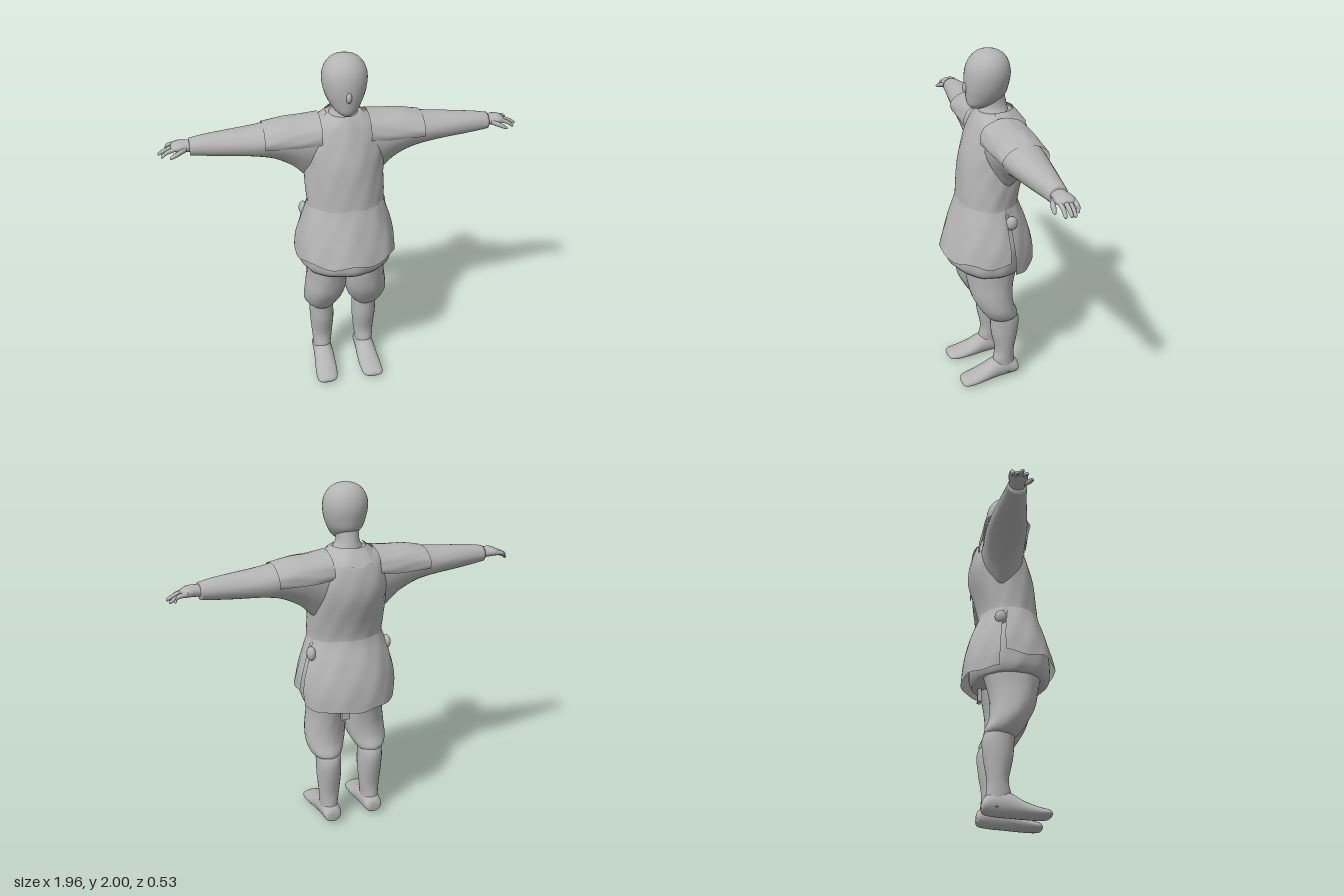
import * as THREE from 'three';

const cloth = new THREE.MeshStandardMaterial({ color: 0xb4b4b4, side: THREE.DoubleSide });
cloth.name = 'plainGrey';

// smooth extra rows between the given cross-sections
function refine(rows, steps = 4) {
  const out = [];
  const at = (i) => rows[Math.max(0, Math.min(rows.length - 1, i))];
  for (let i = 0; i < rows.length - 1; i++) {
    for (let s = 0; s < steps; s++) {
      const t = s / steps;
      out.push(at(i).map((b, k) => {
        const a = at(i - 1)[k], c = at(i + 1)[k], d = at(i + 2)[k];
        return b + 0.5 * t * (c - a + t * (2 * a - 5 * b + 4 * c - d + t * (3 * (b - c) + d - a)));
      }));
    }
  }
  out.push(at(rows.length - 1));
  return out;
}

// Oval loft along an axis. Rows: [position, u0, u1, v0, v1, taper],
// where u and v are the next axes in cyclic order (y: z,x  x: y,z  z: x,y).
// "arc" in degrees makes an open sheet; "fold" adds cloth folds; "hem" waves the first edge.
function loft(axis, rows, { n = 32, arc = null, fold = 0, hem = 0 } = {}) {
  const T = 'xyz'.indexOf(axis), U = (T + 1) % 3, V = (T + 2) % 3;
  const rings = refine(rows.map((r) => [...r, 0].slice(0, 6)));
  const [a0, a1] = (arc || [0, 360]).map(THREE.MathUtils.degToRad);
  const count = arc ? n + 1 : n;
  const pos = [], index = [];
  const push = (t, u, v) => {
    const p = [0, 0, 0];
    p[T] = t; p[U] = u; p[V] = v;
    pos.push(...p);
  };
  rings.forEach(([t, u0, u1, v0, v1, taper], i) => {
    for (let j = 0; j < count; j++) {
      const a = a0 + (a1 - a0) * j / n;
      const f = 1 + fold * (Math.sin(7 * a + 9 * t) + 0.6 * Math.sin(12 * a - 23 * t));
      const c = Math.cos(a), s = Math.sin(a);
      push(t + hem * Math.cos(7 * a) * (1 - i / (rings.length - 1)),
        (u0 + u1) / 2 + (u1 - u0) / 2 * c * f,
        (v0 + v1) / 2 + (v1 - v0) / 2 * s * f * (1 + taper * c));
    }
  });
  for (let i = 0; i < rings.length - 1; i++) {
    for (let j = 0; j < n; j++) {
      const k = (j + 1) % count;
      const a = i * count + j, b = i * count + k;
      index.push(a, b, b + count, a, b + count, a + count);
    }
  }
  if (!arc) {
    const last = (rings.length - 1) * count, mid = pos.length / 3;
    for (const r of [rings[0], rings[rings.length - 1]]) push(r[0], (r[1] + r[2]) / 2, (r[3] + r[4]) / 2);
    for (let j = 0; j < n; j++) {
      const k = (j + 1) % n;
      index.push(mid, k, j, mid + 1, last + j, last + k);
    }
  }
  const geo = new THREE.BufferGeometry();
  geo.setAttribute('position', new THREE.Float32BufferAttribute(pos, 3));
  geo.setIndex(index);
  geo.computeVertexNormals();
  return geo;
}

function mirrored(geo) {
  const g = geo.clone().scale(-1, 1, 1);
  const ix = g.index.array;
  for (let i = 0; i < ix.length; i += 3) [ix[i], ix[i + 1]] = [ix[i + 1], ix[i]];
  g.computeVertexNormals();
  return g;
}

export function createModel() {
  const model = new THREE.Group();
  model.name = 'figure';
  const add = (name, geo) => {
    const mesh = new THREE.Mesh(geo, cloth);
    mesh.name = name;
    model.add(mesh);
    return mesh;
  };
  const pair = (name, geo) => {
    add('left' + name, geo);
    add('right' + name, mirrored(geo));
  };
  // centred sections: [y, back, front, half width]
  const body = (rows) => rows.map(([y, z0, z1, w]) => [y, z0, z1, -w, w]);

  // head and neck
  add('head', loft('y', body([
    [1.69, 0.01, 0.08, 0.025], [1.715, -0.05, 0.1, 0.06], [1.76, -0.105, 0.108, 0.09],
    [1.81, -0.122, 0.113, 0.11], [1.87, -0.132, 0.112, 0.12], [1.92, -0.125, 0.1, 0.114],
    [1.96, -0.105, 0.075, 0.092], [1.985, -0.073, 0.043, 0.06], [2, -0.025, -0.005, 0.01]])));
  add('nose', new THREE.SphereGeometry(1, 12, 10).scale(0.016, 0.03, 0.022).translate(0, 1.805, 0.106));
  add('neck', loft('y', body([
    [1.6, -0.15, 0.06, 0.12], [1.66, -0.125, 0.042, 0.085], [1.7, -0.115, 0.03, 0.062], [1.77, -0.1, 0.03, 0.06]])));
  add('collar', loft('y', body([
    [1.6, -0.215, 0.098, 0.18], [1.64, -0.185, 0.078, 0.14], [1.68, -0.15, 0.062, 0.095]]),
  { arc: [75, 285], hem: 0.008 }));

  // tunic with its two overlapping skirt panels
  add('tunic', loft('y', body([
    [0.77, -0.2, 0.2, 0.245], [0.82, -0.22, 0.23, 0.262], [0.95, -0.22, 0.22, 0.26],
    [1.05, -0.19, 0.19, 0.235], [1.15, -0.17, 0.168, 0.215], [1.25, -0.185, 0.16, 0.217],
    [1.4, -0.228, 0.145, 0.218], [1.5, -0.232, 0.12, 0.222], [1.6, -0.208, 0.085, 0.2],
    [1.645, -0.17, 0.065, 0.14], [1.67, -0.14, 0.05, 0.09]]), { n: 56, fold: 0.012 }));
  add('frontSkirt', loft('y', body([
    [0.86, -0.25, 0.262, 0.288], [0.95, -0.24, 0.238, 0.277], [1.05, -0.21, 0.207, 0.25],
    [1.13, -0.178, 0.178, 0.225], [1.18, -0.168, 0.162, 0.208]]),
  { n: 48, arc: [-102, 102], fold: 0.01, hem: 0.012 }));
  add('backSkirt', loft('y', body([
    [0.78, -0.264, 0.24, 0.28], [0.86, -0.26, 0.24, 0.285], [0.95, -0.246, 0.23, 0.275],
    [1.05, -0.215, 0.2, 0.25], [1.13, -0.182, 0.175, 0.225], [1.18, -0.168, 0.16, 0.208]]),
  { n: 40, arc: [106, 254], fold: 0.01, hem: 0.006 }));
  pair('SideKnot', new THREE.SphereGeometry(1, 12, 8).scale(0.025, 0.04, 0.035).translate(0.225, 1.09, -0.07));
  add('hangingStrap', new THREE.BoxGeometry(0.05, 0.13, 0.02).translate(0.06, 0.76, -0.155));

  // sleeves, wide under the arm, with shoulder caps
  pair('Sleeve', loft('x', [
    [0.08, 1.25, 1.65, -0.17, 0.06, 0.4], [0.2, 1.3, 1.645, -0.165, 0.055, 0.45],
    [0.28, 1.375, 1.64, -0.17, 0.055, 0.3], [0.38, 1.43, 1.63, -0.17, 0.05, 0.15],
    [0.48, 1.455, 1.615, -0.165, 0.038, 0], [0.62, 1.467, 1.602, -0.145, 0.015, 0],
    [0.74, 1.478, 1.59, -0.125, -0.005, 0], [0.815, 1.488, 1.577, -0.115, -0.015, 0]], { fold: 0.008 }));
  pair('ShoulderCap', loft('x', [
    [0.13, 1.47, 1.662, -0.19, 0.078], [0.22, 1.46, 1.652, -0.195, 0.072],
    [0.32, 1.46, 1.647, -0.19, 0.065], [0.43, 1.47, 1.625, -0.188, 0.062]],
  { arc: [-108, 108], fold: 0.012 }));

  // hands
  pair('Palm', loft('x', [
    [0.79, 1.505, 1.567, -0.108, -0.022], [0.83, 1.508, 1.568, -0.108, -0.022],
    [0.87, 1.512, 1.567, -0.118, -0.018], [0.9, 1.515, 1.555, -0.117, -0.028],
    [0.91, 1.525, 1.545, -0.1, -0.04]], { n: 16 }));
  [0.95, 0.97, 0.98, 0.965].forEach((tip, i) => {
    const z = -0.107 + i * 0.023, drop = 0.008 * (i % 2);
    pair('Finger' + (i + 1), loft('x', [
      [0.88, 1.525, 1.552, z - 0.012, z + 0.012],
      [0.93, 1.518 - drop, 1.542 - drop, z - 0.011, z + 0.011],
      [tip - 0.008, 1.5 - drop, 1.52 - drop, z - 0.008, z + 0.01],
      [tip, 1.503 - drop, 1.511 - drop, z - 0.003, z + 0.005]], { n: 10 }));
  });
  pair('Thumb', loft('x', [
    [0.83, 1.52, 1.55, -0.05, -0.02], [0.87, 1.508, 1.536, -0.028, 0],
    [0.9, 1.498, 1.522, -0.018, 0.006], [0.918, 1.496, 1.508, -0.01, 0.003]], { n: 10 }));

  // gathered breeches
  pair('Breeches', loft('y', [
    [0.43, -0.13, 0.015, 0.07, 0.19], [0.46, -0.145, 0.045, 0.048, 0.222],
    [0.52, -0.122, 0.085, 0.018, 0.242], [0.6, -0.115, 0.125, 0, 0.238],
    [0.7, -0.13, 0.147, -0.006, 0.225], [0.82, -0.165, 0.165, -0.006, 0.22]], { fold: 0.012 }));

  // lower legs and feet
  pair('Shin', loft('y', [
    [0.05, -0.14, -0.02, 0.08, 0.182], [0.12, -0.133, -0.002, 0.078, 0.184], [0.2, -0.13, -0.015, 0.068, 0.19],
    [0.32, -0.15, 0.008, 0.058, 0.2], [0.42, -0.155, 0.015, 0.06, 0.202], [0.5, -0.11, 0.02, 0.06, 0.2]], { n: 24 }));
  pair('Foot', loft('z', [
    [-0.155, 0.1, 0.165, 0.035, 0.08], [-0.14, 0.08, 0.182, 0.02, 0.11], [-0.08, 0.075, 0.186, 0.01, 0.145],
    [-0.01, 0.072, 0.19, 0.006, 0.135], [0.06, 0.07, 0.196, 0.002, 0.095], [0.13, 0.073, 0.202, 0, 0.066],
    [0.185, 0.085, 0.198, 0.004, 0.052], [0.203, 0.12, 0.175, 0.02, 0.036]], { n: 24 }));

  return model;
}
